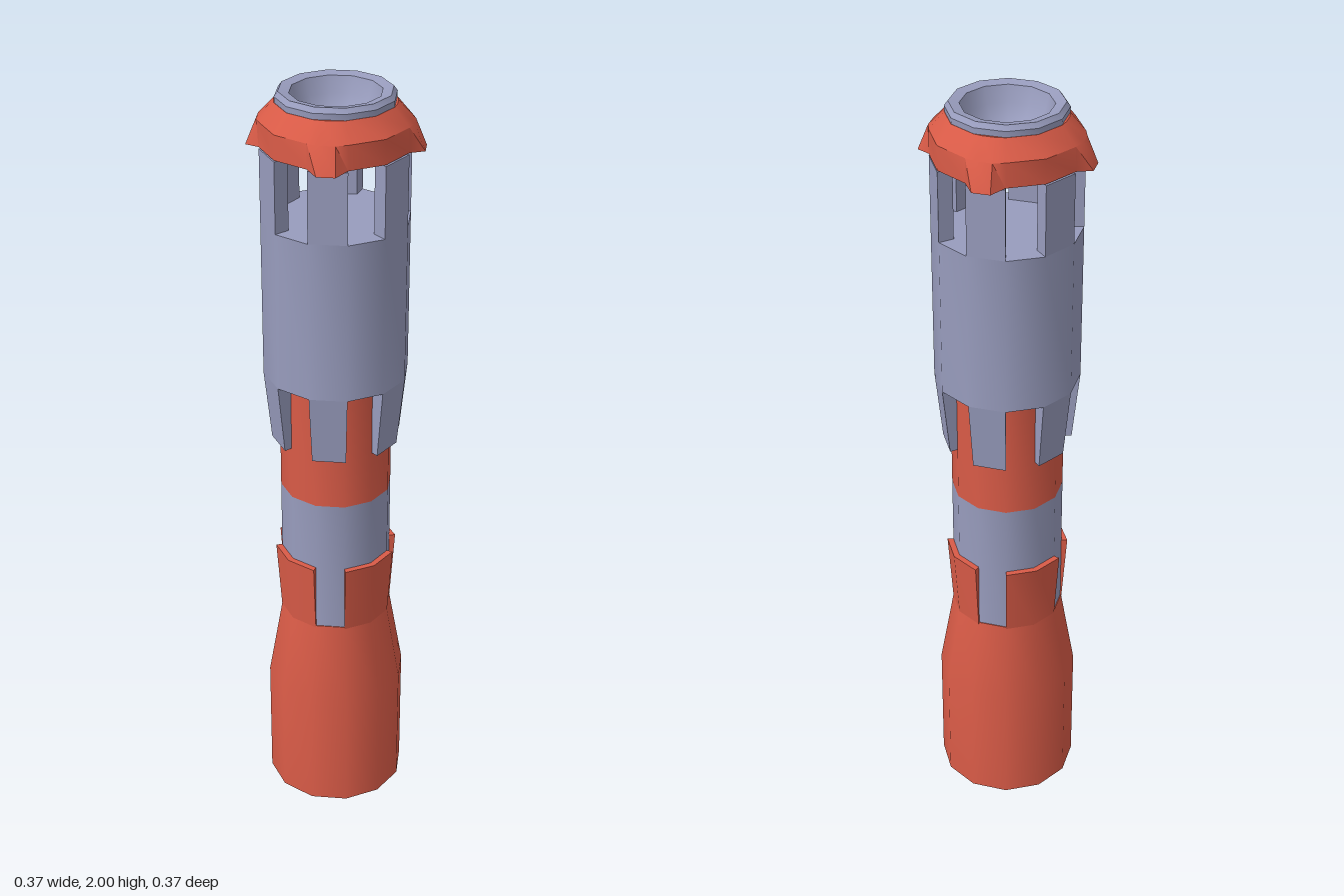
import * as THREE from 'three';
import { mergeGeometries, toCreasedNormals } from 'three/addons/utils/BufferGeometryUtils.js';

const SIDES = 12;
const rad = THREE.MathUtils.degToRad;
const toPoints = (list) => list.map(([r, y]) => new THREE.Vector2(r, y));
const crease = (geo) => toCreasedNormals(geo, rad(34));

// Full turned part, profile of [radius, y] from bottom to top
function turned(profile) {
  return crease(new THREE.LatheGeometry(toPoints(profile), SIDES));
}

// Solid slice of a turned wall between two angles, with closed ends.
// The profile loop runs inner bottom, outer bottom, outer top, inner top.
function slice(from, to, profile) {
  const wall = new THREE.LatheGeometry(
    toPoints([...profile, profile[0]]), Math.round((to - from) * SIDES / 360), rad(from), rad(to - from));
  const start = new THREE.ShapeGeometry(new THREE.Shape(toPoints(profile)));
  const end = start.clone();
  end.setIndex([...end.index.array].reverse());
  start.rotateY(rad(from - 90));
  end.rotateY(rad(to - 90));
  return crease(mergeGeometries([wall, start, end]));
}

// Surface through loops of equal length, listed from bottom to top
function skin(loops) {
  const n = loops[0].length;
  const index = [];
  for (let r = 0; r < loops.length - 1; r++) {
    for (let i = 0; i < n; i++) {
      const a = r * n + i, b = r * n + (i + 1) % n;
      index.push(a, b, a + n, b, b + n, a + n);
    }
  }
  const geo = new THREE.BufferGeometry();
  geo.setAttribute('position', new THREE.Float32BufferAttribute(loops.flat(2), 3));
  geo.setIndex(index);
  return crease(geo);
}

export function createModel() {
  const model = new THREE.Group();
  const red = new THREE.MeshStandardMaterial({ color: 0xd95b47 });
  red.name = 'coral red';
  const grey = new THREE.MeshStandardMaterial({ color: 0x989cbd });
  grey.name = 'blue grey';

  const add = (name, geometry, material, parent = model) => {
    const mesh = new THREE.Mesh(geometry, material);
    mesh.name = name;
    parent.add(mesh);
  };
  const addGroup = (name) => {
    const group = new THREE.Group();
    group.name = name;
    model.add(group);
    return group;
  };

  // Wide foot narrowing into the shaft
  add('base', turned([[0, 0], [0.185, 0], [0.185, 0.34], [0.147, 0.56], [0, 0.56]]), red);

  // Shaft in two colours
  add('lowerShaft', turned([[0.145, 0.56], [0.145, 0.935]]), grey);
  add('upperShaft', turned([[0.145, 0.935], [0.145, 1.27]]), red);

  // Four broad teeth rising from the base and leaning outward
  const lowerTeeth = addGroup('lowerTeeth');
  for (let i = 0; i < 4; i++) {
    add('lowerTooth', slice(i * 90 - 30, i * 90 + 30,
      [[0.14, 0.555], [0.148, 0.555], [0.161, 0.745], [0.14, 0.745]]), red, lowerTeeth);
  }

  // Thick upper body, with teeth hanging below and posts between the windows
  add('upperBody', turned([[0.14, 1.265], [0.185, 1.265], [0.185, 1.68], [0, 1.68]]), grey);
  const upperTeeth = addGroup('upperTeeth');
  const posts = addGroup('windowPosts');
  for (let i = 0; i < 6; i++) {
    const a = i * 60 + 30;
    add('upperTooth', slice(a, a + 30,
      [[0.144, 1.08], [0.166, 1.08], [0.185, 1.265], [0.144, 1.265]]), grey, upperTeeth);
    add('windowPost', slice(a, a + 30,
      [[0.145, 1.68], [0.185, 1.68], [0.185, 1.862], [0.145, 1.862]]), grey, posts);
  }

  // Collar with a pulled-out flare at each of its four corners
  const angles = [0, 1, 2, 3].flatMap((q) => [0, 30, 39, 51, 60].map((a) => q * 90 + a));
  const loop = (rule) => angles.map((a) => {
    const corner = a % 90 === 39 || a % 90 === 51;
    const [r, y] = rule(corner);
    return [r * Math.sin(rad(a)), y, r * Math.cos(rad(a))];
  });
  add('collar', skin([
    loop(() => [0, 1.866]),
    loop((corner) => [corner ? 0.216 : 0.185, corner ? 1.862 : 1.866]),
    loop((corner) => [corner ? 0.189 : 0.184, 1.928]),
    loop(() => [0.147, 1.973]),
    loop(() => [0.12, 1.973]),
  ]), red);

  // Rimmed bowl on top
  add('topBowl', turned([
    [0.146, 1.968], [0.147, 1.988], [0.138, 2], [0.112, 1.995],
    [0.1, 1.955], [0.075, 1.915], [0.04, 1.893], [0, 1.885],
  ]), grey);

  return model;
}
